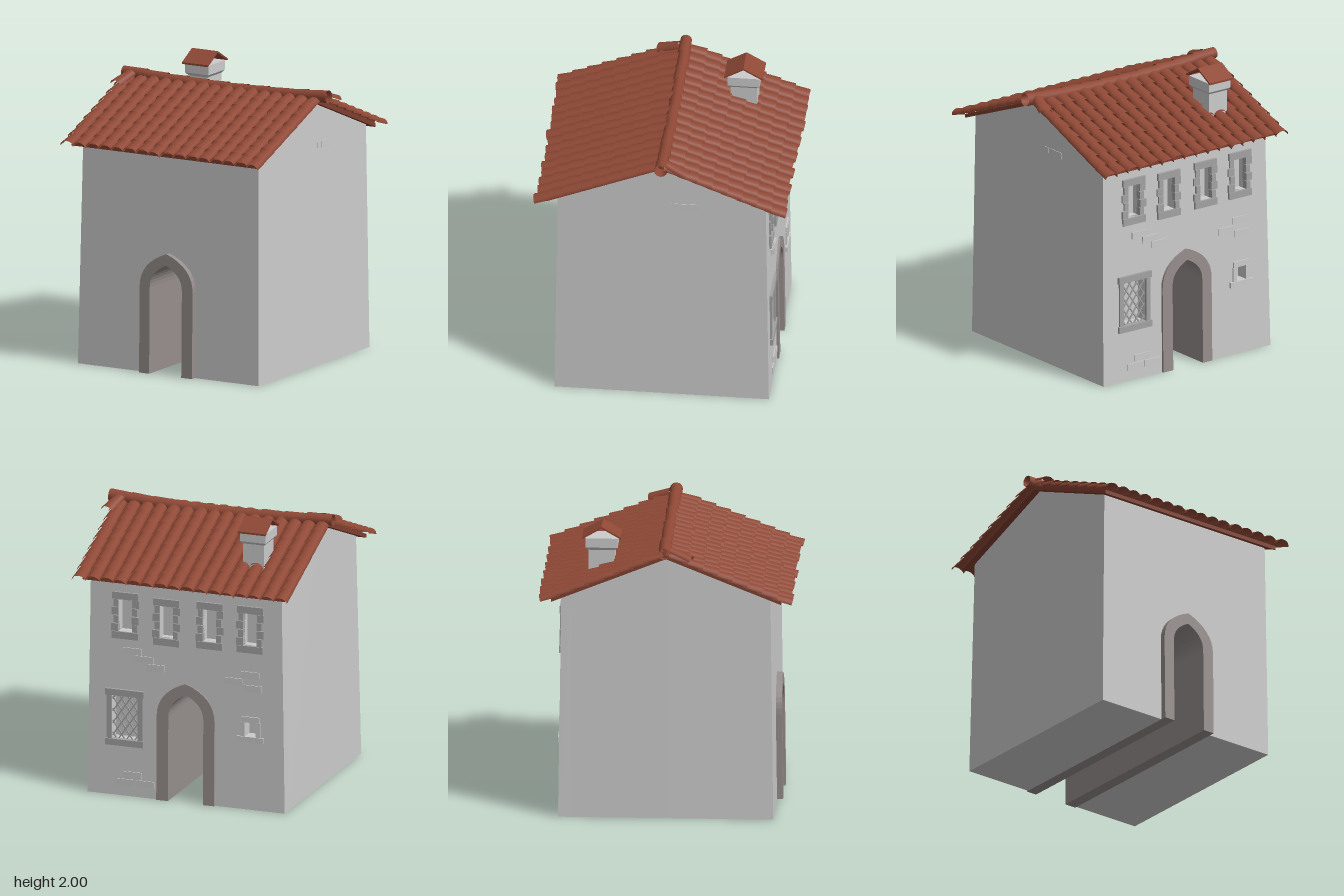
import * as THREE from 'three';
import { mergeGeometries } from 'three/addons/utils/BufferGeometryUtils.js';

const wallMat = new THREE.MeshStandardMaterial({ color: 0xcccccc, flatShading: true });
const stoneMat = new THREE.MeshStandardMaterial({ color: 0xa3a3a3, flatShading: true });
const archMat = new THREE.MeshStandardMaterial({ color: 0x968e8c, flatShading: true });
const tileMat = new THREE.MeshStandardMaterial({ color: 0x8f4835, side: THREE.DoubleSide });
const woodMat = new THREE.MeshStandardMaterial({ color: 0x7f402f, flatShading: true });

const RIDGE_Z = -0.02, SLOPE = 0.4, APEX = 1.84, EAVE = 1.56;
const frontZ = y => 0.711 - 0.013 * y;
const backZ = y => -0.757 + 0.014 * y;
const roofY = z => APEX - SLOPE * Math.abs(z - RIDGE_Z);

let seed = 7;
const jitter = a => {
  seed = (seed * 16807) % 2147483647;
  return (seed / 2147483647 - 0.5) * 2 * a;
};

function add(parent, name, geo, mat) {
  const mesh = new THREE.Mesh(geo, mat);
  mesh.name = name;
  parent.add(mesh);
  return mesh;
}

// Extrudes a shape through a list of z layers, each a function of height
function layered(shape, layers) {
  const n = layers.length - 1;
  const geo = new THREE.ExtrudeGeometry(shape, { depth: 1, steps: n, bevelEnabled: false, curveSegments: 8 });
  const p = geo.attributes.position;
  for (let i = 0; i < p.count; i++) {
    const y = p.getY(i), z = layers[Math.round(p.getZ(i) * n)](y);
    p.setZ(i, z);
    if (y > EAVE - 0.005) p.setY(i, roofY(z));
  }
  geo.computeVertexNormals();
  return geo;
}

// Pointed arch traced from its right foot to its left foot or back again
function traceArch(path, cx, hw, shoulder, top, dir) {
  path.lineTo(cx + dir * hw, 0);
  path.lineTo(cx + dir * hw, 0.6);
  path.quadraticCurveTo(cx + dir * hw, shoulder, cx, top);
  path.quadraticCurveTo(cx - dir * hw, shoulder, cx - dir * hw, 0.6);
  path.lineTo(cx - dir * hw, 0);
}

function wallShape() {
  const s = new THREE.Shape();
  s.moveTo(-0.735, 0);
  traceArch(s, -0.015, 0.21, 0.77, 0.845, -1);
  s.lineTo(0.7, 0);
  s.lineTo(0.685, EAVE);
  s.lineTo(-0.705, EAVE);
  s.closePath();
  return s;
}

// Inverted V strip running along x, with its peak at the origin
function chevron(w, rise, t, length) {
  const pts = [[-w, -rise], [0, 0], [w, -rise], [w, -rise - t], [0, -t], [-w, -rise - t]];
  const s = new THREE.Shape(pts.map(([x, y]) => new THREE.Vector2(x, y)));
  return new THREE.ExtrudeGeometry(s, { depth: length, bevelEnabled: false })
    .translate(0, 0, -length / 2).rotateY(Math.PI / 2);
}

// Block set into the back wall and standing slightly proud of it
function backBlock(x, y, w, h, proud = 0.01) {
  const d = 0.04;
  return new THREE.BoxGeometry(w, h, d).translate(x, y, backZ(y) - proud + d / 2);
}

// Stone surround with staggered jamb blocks
function surround(x, y, w, h) {
  const parts = [];
  const rows = 4, rowH = h / rows;
  for (const side of [-1, 1]) {
    for (let i = 0; i < rows; i++) {
      const bw = (i + (side > 0 ? 1 : 0)) % 2 ? 0.05 : 0.035;
      parts.push(backBlock(x + side * (w / 2 + bw / 2), y - h / 2 + (i + 0.5) * rowH, bw, rowH - 0.004, 0.013 + jitter(0.004)));
    }
  }
  for (const side of [-1, 1]) parts.push(backBlock(x, y + side * (h / 2 + 0.025), w + 0.09, 0.05, 0.016));
  return mergeGeometries(parts);
}

// Diagonal bars clipped to a rectangle
function lattice(x, y, w, h) {
  const bars = [], k = 1.45, reach = h / 2 + k * w / 2;
  for (const dir of [-1, 1]) {
    for (let c = -reach + 0.04; c < reach; c += 0.085) {
      const x0 = Math.max(-w / 2, (-h / 2 - c) / k), x1 = Math.min(w / 2, (h / 2 - c) / k);
      if (x1 - x0 < 0.01) continue;
      const len = (x1 - x0) * Math.hypot(1, k);
      bars.push(new THREE.BoxGeometry(len, 0.008, 0.008).rotateZ(dir * Math.atan(k))
        .translate(x + dir * (x0 + x1) / 2, y + k * (x0 + x1) / 2 + c, backZ(y) + 0.012));
    }
  }
  return mergeGeometries(bars);
}

// One slope of overlapping half-round tiles, laid in columns
function tileSlope(facing) {
  const tiles = [], angle = Math.atan(SLOPE), rows = 8, cols = 16;
  for (let c = 0; c < cols; c++) {
    const slip = jitter(0.014);
    for (let r = 0; r < rows; r++) {
      const tile = new THREE.CylinderGeometry(0.043, 0.051, 0.14, 8, 1, true, -Math.PI / 2, Math.PI);
      tile.scale(1, 1, 0.75).rotateX(-0.09).rotateZ(jitter(0.025));
      tile.translate(-0.7335 + c * 0.0978, -(0.07 + r * 0.1085 + slip + 0.01), 0.008);
      tiles.push(tile);
    }
  }
  const geo = mergeGeometries(tiles).rotateX(angle - Math.PI / 2);
  if (facing < 0) geo.rotateY(Math.PI);
  return geo.translate(-0.013, APEX + 0.025, RIDGE_Z);
}

export function createModel() {
  const house = new THREE.Group();
  house.name = 'house';

  // Upper windows, the barred window and the small niche, as [x, y, width, height]
  const upper = [[0.43, 1.28], [0.13, 1.265], [-0.185, 1.275], [-0.48, 1.28]].map(([x, y]) => [x, y, 0.1, 0.23]);
  const barred = [0.43, 0.555, 0.19, 0.31];
  const niche = [-0.485, 0.57, 0.08, 0.1];

  // Walls: main block plus a pierced back layer
  const inner = () => -0.67;
  add(house, 'mainWalls', layered(wallShape(), [inner, () => RIDGE_Z, frontZ]), wallMat);
  const pierced = wallShape();
  for (const [x, y, w, h] of [...upper, barred, niche]) {
    const hole = new THREE.Path();
    hole.moveTo(x - w / 2, y - h / 2);
    hole.lineTo(x - w / 2, y + h / 2);
    hole.lineTo(x + w / 2, y + h / 2);
    hole.lineTo(x + w / 2, y - h / 2);
    hole.closePath();
    pierced.holes.push(hole);
  }
  add(house, 'backWall', layered(pierced, [backZ, inner]), wallMat);

  // Arched passage lining, running through the whole house
  const ring = new THREE.Shape();
  ring.moveTo(0.195, 0);
  traceArch(ring, -0.015, 0.21, 0.77, 0.845, 1);
  traceArch(ring, -0.0175, 0.1275, 0.71, 0.765, -1);
  ring.closePath();
  add(house, 'archLining', layered(ring, [y => backZ(y) - 0.015, y => frontZ(y) + 0.041]), archMat);

  // Window surrounds
  for (const w of upper) add(house, 'upperWindowSurround', surround(...w), stoneMat);
  const [bx, by, bw, bh] = barred;
  add(house, 'barredWindowFrame', mergeGeometries([
    ...[-1, 1].map(s => backBlock(bx + s * (bw / 2 + 0.0175), by, 0.035, bh, 0.013)),
    ...[-1, 1].map(s => backBlock(bx, by + s * (bh / 2 + 0.022), bw + 0.09, 0.045, 0.02)),
  ]), stoneMat);
  add(house, 'windowLattice', lattice(...barred), stoneMat);
  const [nx, ny, nw, nh] = niche;
  add(house, 'nicheSurround', mergeGeometries([
    ...[-1, 1].map(s => backBlock(nx + s * (nw / 2 + 0.015), ny, 0.03, nh)),
    backBlock(nx, ny + nh / 2 + 0.02, 0.13, 0.04),
    backBlock(nx, ny - nh / 2 - 0.02, 0.19, 0.04, 0.016),
  ]), wallMat);

  // Exposed bricks on the back wall and on one side
  const bricks = [
    [0.38, 1.03], [0.29, 0.98], [0.21, 0.93],
    [-0.48, 0.955], [-0.36, 0.9], [-0.5, 0.86],
    [0.37, 0.15], [0.43, 0.095], [0.28, 0.095],
  ];
  add(house, 'backBricks', mergeGeometries(bricks.map(([x, y]) => backBlock(x, y, 0.13, 0.048, 0.007))), wallMat);
  add(house, 'sideBricks', mergeGeometries([
    new THREE.BoxGeometry(0.03, 0.048, 0.125).translate(0.676, 1.525, -0.208),
    new THREE.BoxGeometry(0.03, 0.04, 0.045).translate(0.676, 1.53, -0.11),
  ]), wallMat);

  // Roof boards and tiles
  const boards = add(house, 'roofBoards', chevron(0.785, 0.785 * SLOPE, 0.027, 1.475), woodMat);
  boards.position.set(-0.017, APEX + 0.027, RIDGE_Z);
  add(house, 'frontTiles', tileSlope(1), tileMat);
  add(house, 'backTiles', tileSlope(-1), tileMat);

  // Sagging ridge of overlapping round tiles
  const ridge = [];
  for (let i = 0; i < 10; i++) {
    const x = -0.72 + i * 0.16;
    ridge.push(new THREE.CylinderGeometry(0.039, 0.045, 0.185, 12, 1, true)
      .rotateZ(Math.PI / 2 + 0.07 * x + jitter(0.02))
      .translate(x, 1.862 + 0.03 * (x / 0.8) ** 2, -0.03 + jitter(0.004)));
  }
  add(house, 'ridgeTiles', mergeGeometries(ridge), tileMat);

  // Two slipped tiles beside the ridge ends
  for (const s of [-1, 1]) {
    const holder = new THREE.Group();
    holder.name = 'looseTile';
    holder.position.set(s * 0.75, 1.862, s < 0 ? 0.08 : -0.13);
    holder.rotation.y = s < 0 ? 0 : Math.PI;
    const geo = new THREE.CylinderGeometry(0.04, 0.048, 0.16, 8, 1, true, -Math.PI / 2, Math.PI)
      .scale(1, 1, 0.75).rotateZ(-0.25).rotateX(Math.atan(SLOPE) - Math.PI / 2);
    add(holder, 'looseTileShell', geo, tileMat);
    house.add(holder);
  }

  // Chimney with flared collar and gabled cap
  const chimney = new THREE.Group();
  chimney.name = 'chimney';
  chimney.position.set(-0.435, 0, -0.47);
  const profile = [[0.09, 1.6], [0.09, 1.83], [0.11, 1.85], [0.11, 1.915], [0, 1.915]]
    .map(([r, y]) => new THREE.Vector2(r * Math.SQRT2, y));
  const stack = new THREE.LatheGeometry(profile, 4).rotateY(Math.PI / 4).scale(0.85, 1, 1);
  add(chimney, 'chimneyStack', stack, wallMat);
  add(chimney, 'chimneyCap', chevron(0.132, 0.075, 0.013, 0.205), tileMat).position.y = 2;
  house.add(chimney);

  return house;
}
